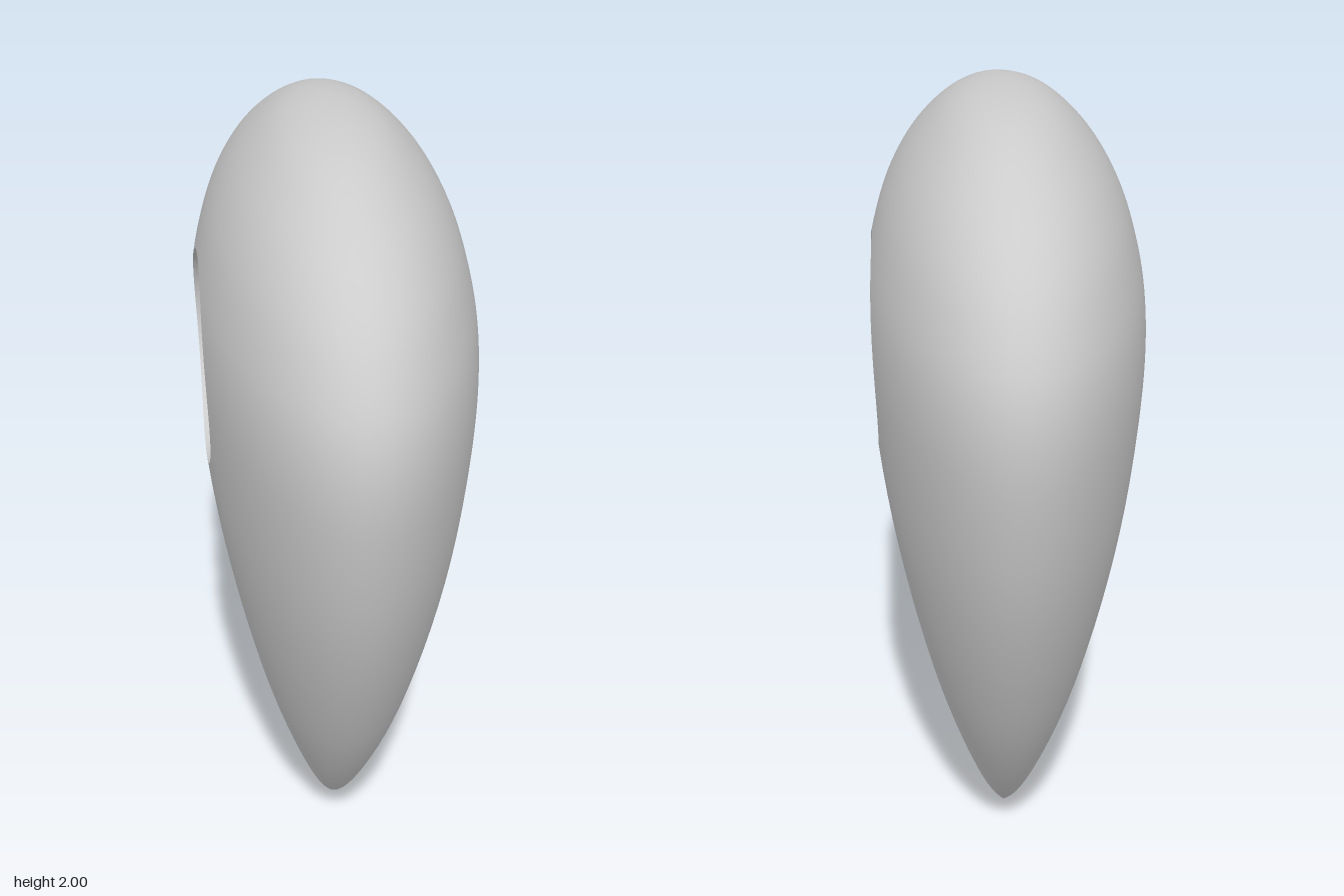
import * as THREE from 'three';

const FLATTEN = 0.436;               // thickness (x) relative to width (z)
const HOLE = { y: 1.39, r: 0.257 };

// half outline from the pointed tip to the rounded top: radius, height
const profile = new THREE.SplineCurve([
  [0, 0], [0.14, 0.12], [0.28, 0.285], [0.42, 0.485], [0.54, 0.7], [0.635, 0.91], [0.7, 1.1],
  [0.745, 1.3], [0.76, 1.45], [0.745, 1.57], [0.7, 1.67], [0.635, 1.76], [0.535, 1.845],
  [0.41, 1.915], [0.28, 1.965], [0.14, 1.992], [0, 2],
].map(([r, y]) => new THREE.Vector2(r, y)));
const samples = profile.getSpacedPoints(400);

// radius of the body at a height
function radiusAt(y) {
  const i = Math.max(1, samples.findIndex((p) => p.y >= y));
  const a = samples[i - 1], b = samples[i];
  return THREE.MathUtils.mapLinear(y, a.y, b.y, a.x, b.x);
}

function halfThickness(z, y) {
  return FLATTEN * Math.sqrt(Math.max(0, radiusAt(y) ** 2 - z * z));
}

// closed band: columns run around the hole, rows run across it
function band(columns) {
  const n = columns.length, m = columns[0].length, index = [];
  for (let i = 0; i < n; i++) {
    for (let j = 0; j < m - 1; j++) {
      const a = i * m + j, b = ((i + 1) % n) * m + j;
      index.push(a, b, a + 1, b, b + 1, a + 1);
    }
  }
  const geometry = new THREE.BufferGeometry();
  geometry.setAttribute('position', new THREE.Float32BufferAttribute(columns.flat(2), 3));
  geometry.setIndex(index);
  geometry.computeVertexNormals();
  return geometry;
}

export function createModel() {
  const group = new THREE.Group();
  group.name = 'mapPin';
  const material = new THREE.MeshStandardMaterial({ color: 0xcccccc });

  // full outline, up the +z side and down the -z side
  const side = profile.getSpacedPoints(56);
  const outline = [
    ...side.map((p) => [p.x, p.y]),
    ...side.slice(1, -1).reverse().map((p) => [-p.x, p.y]),
  ];

  const rows = 24, bodyColumns = [], wallColumns = [];
  for (const [z, y] of outline) {
    const d = Math.hypot(z, y - HOLE.y);
    const hz = (z / d) * HOLE.r, hy = HOLE.y + ((y - HOLE.y) / d) * HOLE.r;
    // from the hole rim out to the edge, rows packed toward the edge
    const face = [];
    for (let j = 0; j < rows; j++) {
      const s = 1 - (1 - j / rows) ** 2;
      const pz = hz + (z - hz) * s, py = hy + (y - hy) * s;
      face.push([halfThickness(pz, py), py, pz]);
    }
    const back = face.map(([px, py, pz]) => [-px, py, pz]).reverse();
    bodyColumns.push([...face, [0, y, z], ...back]);
    wallColumns.push([back[rows - 1], face[0]]);
  }

  // flattened teardrop body
  const body = new THREE.Mesh(band(bodyColumns), material);
  body.name = 'body';
  // inside of the round through hole
  const wall = new THREE.Mesh(band(wallColumns), material);
  wall.name = 'holeWall';
  group.add(body, wall);
  return group;
}
